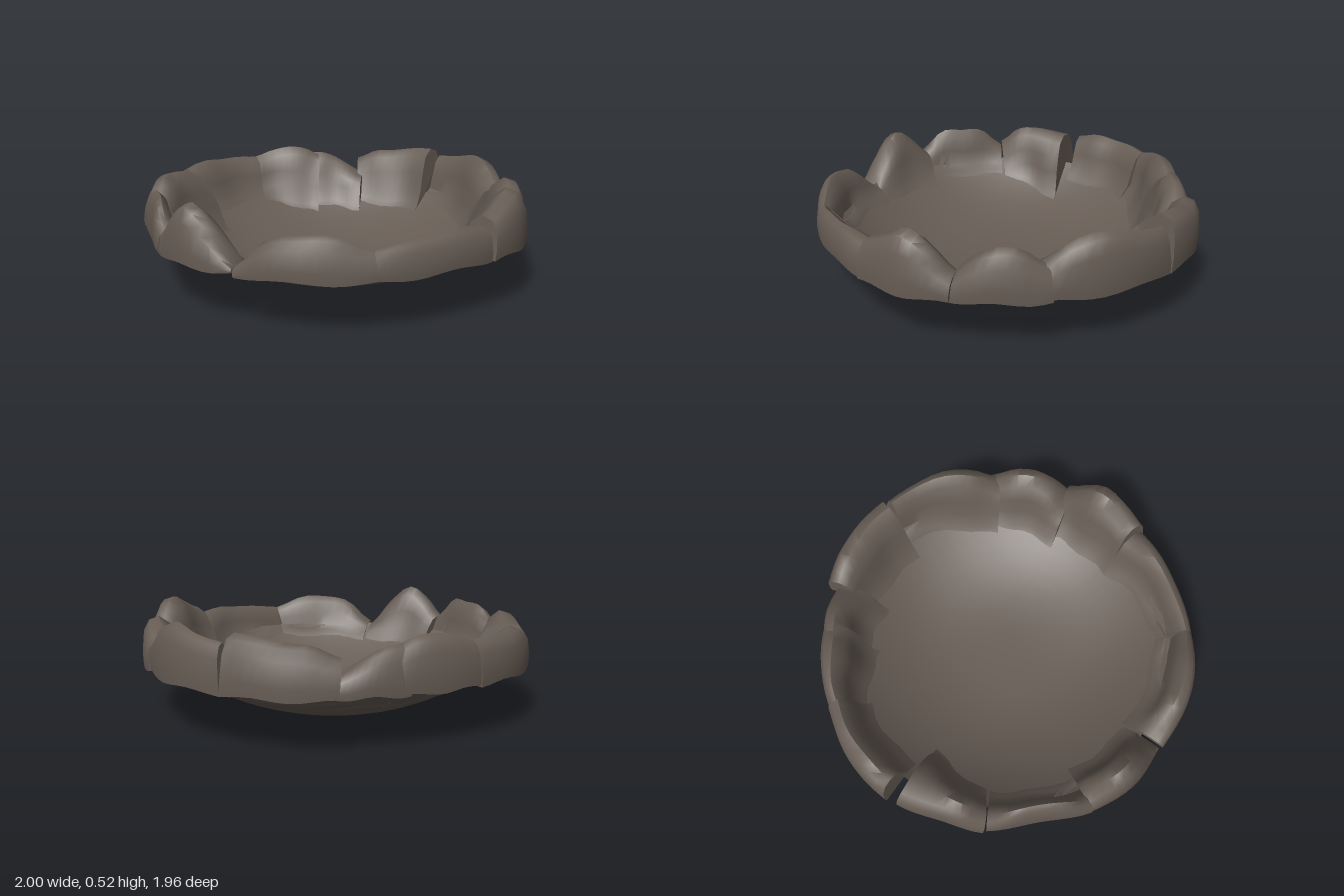
import * as THREE from 'three';
import { toCreasedNormals, mergeVertices } from 'three/addons/utils/BufferGeometryUtils.js';

const stone = new THREE.MeshStandardMaterial({ color: 0x665c54, side: THREE.DoubleSide });
stone.name = 'brown stone';

// Rim stones: start and end angle (degrees, from +x towards +z), outer radius at start,
// middle and end, inner radius at start and end, and the ridge heights along the stone.
const STONES = [
  { from: 50, to: 87, outer: [0.985, 1.0, 0.98], inner: [0.88, 0.80], heights: [0.38, 0.44, 0.44, 0.41, 0.29] },
  { from: 14, to: 51, outer: [0.97, 0.965, 0.985], inner: [0.78, 0.88], heights: [0.40, 0.42, 0.41, 0.40, 0.38] },
  { from: -14.5, to: 14, outer: [0.985, 1.0, 0.985], inner: [0.79, 0.78], heights: [0.36, 0.46, 0.53, 0.49, 0.44] },
  { from: -41, to: -13, outer: [0.965, 0.97, 0.965], inner: [0.79, 0.74], heights: [0.40, 0.47, 0.48, 0.43, 0.33] },
  { from: -78, to: -39, outer: [0.98, 0.975, 0.95], inner: [0.86, 0.74], heights: [0.47, 0.49, 0.52, 0.49, 0.40] },
  { from: -109, to: -78, outer: [0.965, 0.985, 0.985], inner: [0.78, 0.77], heights: [0.42, 0.47, 0.48, 0.50, 0.51] },
  { from: -129, to: -107, outer: [0.915, 0.925, 0.925], inner: [0.77, 0.72], heights: [0.46, 0.46, 0.43, 0.38, 0.33] },
  { from: -153, to: -127, outer: [0.945, 0.93, 0.92], inner: [0.82, 0.71], heights: [0.45, 0.48, 0.50, 0.49, 0.45] },
  { from: -183, to: -152, outer: [1.0, 0.985, 0.95], inner: [0.82, 0.80], heights: [0.44, 0.47, 0.46, 0.46, 0.45] },
  { from: 148, to: 174, outer: [0.985, 0.97, 0.99], inner: [0.82, 0.69], heights: [0.38, 0.46, 0.48, 0.47, 0.45] },
  { from: 116, to: 147, outer: [0.985, 0.945, 0.975], inner: [0.85, 0.82], heights: [0.36, 0.47, 0.47, 0.46, 0.36] },
  { from: 88, to: 116, outer: [0.965, 0.995, 0.98], inner: [0.80, 0.80], heights: [0.28, 0.43, 0.52, 0.46, 0.36] },
];

// Height of the dish at a given radius
const bowlY = (r) => 0.005 + 0.245 * Math.pow(r / 0.82, 2.75);

// Smooth curve through evenly spaced values
const curveOf = (values) =>
  new THREE.SplineCurve(values.map((v, i) => new THREE.Vector2(i / (values.length - 1), v)));

// One stone: a shell swept along its arc, open underneath, capped at both ends
function stoneGeometry({ from, to, outer, inner, heights }, seed) {
  const columns = 11;
  const ridge = curveOf(heights), outline = curveOf(outer);
  const positions = [], index = [];
  let count = 0;
  for (let i = 0; i < columns; i++) {
    const t = i / (columns - 1);
    const wobble = 0.008 * Math.sin(seed * 2.3 + t * 9);
    const R = outline.getPoint(t).y;
    const r = THREE.MathUtils.lerp(inner[0], inner[1], t) + wobble;
    const low = 0.25 + wobble;
    const w = R - r;
    const rise = ridge.getPoint(t).y - low;
    const loop = [
      [R - 0.003, low], [R, low + 0.25 * rise],
      [R - 0.01, low + 0.7 * rise],
      [R - 0.018 - 0.1 * w, low + 0.93 * rise],
      [R - 0.44 * w, low + rise],
      [R - 0.7 * w, low + 0.84 * rise],
      [r + 0.14 * w, low + 0.47 * rise],
      [r + 0.02 * w, low + 0.1 * rise],
      [r - 0.035, bowlY(r - 0.035) + 0.01], [r - 0.075, bowlY(r - 0.075) - 0.004],
      [0.82, 0.255],
    ];
    // Skew the columns so the ends are not perfectly radial
    const a = THREE.MathUtils.degToRad(THREE.MathUtils.lerp(from, to, t));
    const lean = 0.12 * Math.sin(seed * 1.7);
    loop.forEach(([q, y]) => {
      const angle = a + lean * (y - 0.25);
      positions.push(q * Math.cos(angle), y, q * Math.sin(angle));
    });
    count = loop.length;
  }
  // The closing point of each section belongs to the end caps only
  for (let i = 0; i < columns - 1; i++) {
    for (let j = 0; j < count - 2; j++) {
      const a = i * count + j, b = a + 1;
      index.push(a, b, a + count, b, b + count, a + count);
    }
  }
  const closing = count - 1, last = (columns - 1) * count;
  for (let j = 0; j < closing - 1; j++) {
    index.push(closing, j + 1, j);
    index.push(last + closing, last + j, last + j + 1);
  }
  const geometry = new THREE.BufferGeometry();
  geometry.setAttribute('position', new THREE.Float32BufferAttribute(positions, 3));
  geometry.setIndex(index);
  return toCreasedNormals(geometry, 0.9);
}

// Shallow dish made of one sheet, gently dented by a smooth rule
function bowlGeometry() {
  const profile = [];
  for (let i = 0; i <= 12; i++) {
    const r = 0.86 * i / 12;
    profile.push(new THREE.Vector2(r, bowlY(r)));
  }
  const geometry = new THREE.LatheGeometry(profile, 56);
  const p = geometry.attributes.position;
  for (let i = 0; i < p.count; i++) {
    const x = p.getX(i), y = p.getY(i), z = p.getZ(i);
    const r = Math.hypot(x, z);
    const dent = 0.003 * r * (Math.sin(7 * x + 2 * z) + Math.sin(9 * z - 4 * x + 1));
    p.setY(i, Math.max(0, y + dent));
  }
  geometry.deleteAttribute('normal');
  geometry.deleteAttribute('uv');
  return toCreasedNormals(mergeVertices(geometry, 1e-4), 0.9);
}

export function createModel() {
  const model = new THREE.Group();
  model.name = 'stoneBasin';

  const bowl = new THREE.Mesh(bowlGeometry(), stone);
  bowl.name = 'bowl';
  model.add(bowl);

  const rim = new THREE.Group();
  rim.name = 'rim';
  STONES.forEach((spec, i) => {
    const mesh = new THREE.Mesh(stoneGeometry(spec, i + 1), stone);
    mesh.name = `rimStone${i + 1}`;
    rim.add(mesh);
  });
  model.add(rim);
  return model;
}
